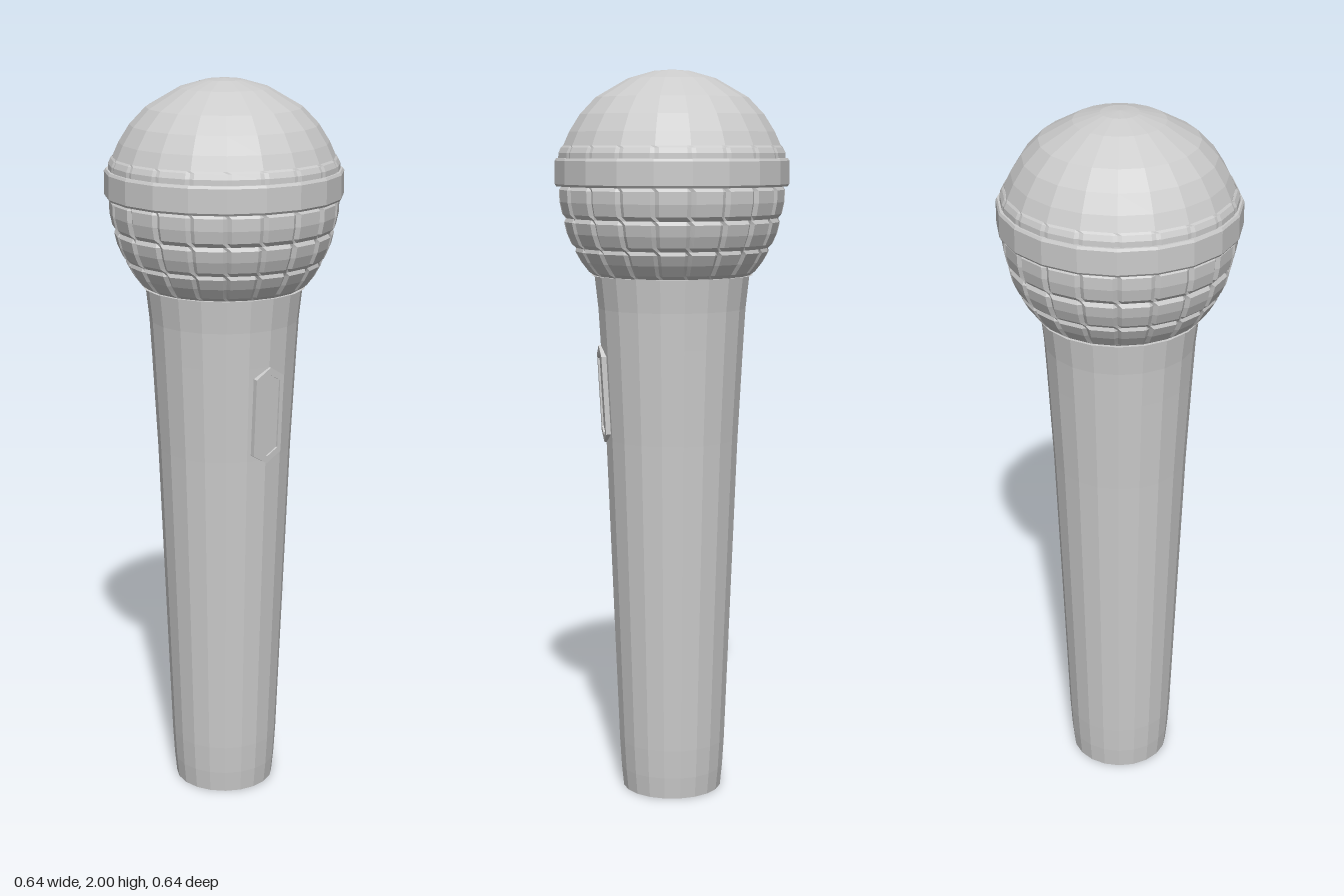
import * as THREE from 'three';

const SIDES = 20;
const STEP = (Math.PI * 2) / SIDES;
const material = new THREE.MeshStandardMaterial({ color: 0xcccccc, flatShading: true, side: THREE.DoubleSide });

function add(parent, name, geometry) {
  const mesh = new THREE.Mesh(geometry, material);
  mesh.name = name;
  parent.add(mesh);
  return mesh;
}

// Revolved part from [radius, y] pairs, listed bottom to top
function lathe(points, sides = SIDES) {
  return new THREE.LatheGeometry(points.map(([r, y]) => new THREE.Vector2(r, y)), sides);
}

// Ring of raised tiles, separated by shallow grooves
function tileRow([r0, y0], [r1, y1], depth = 0.009) {
  const at = (t, inset) => [r0 + (r1 - r0) * t - inset, y0 + (y1 - y0) * t];
  const geometry = lathe([at(0, depth), at(0.13, 0), at(0.5, -0.003), at(0.87, 0), at(1, depth)], SIDES * 3);
  const pos = geometry.attributes.position;
  const rows = 5;
  for (let i = 0; i < pos.count; i++) {
    const column = Math.floor(i / rows);
    const k = column % 3;
    const local = [0, 0.12, 0.88][k] * STEP;
    const angle = Math.floor(column / 3) * STEP + local;
    let r = Math.hypot(pos.getX(i), pos.getZ(i));
    // keep the tile faces flat, sink the groove lines
    r *= Math.cos(STEP / 2) / Math.cos(local - STEP / 2);
    const edgeRow = i % rows === 0 || i % rows === rows - 1;
    if (k === 0 && !edgeRow) r -= depth;
    pos.setX(i, Math.sin(angle) * r);
    pos.setZ(i, Math.cos(angle) * r);
  }
  geometry.computeVertexNormals();
  return geometry;
}

// Long hexagon with pointed ends, centred on the origin
function longHexagon(PathType, w, h, point) {
  return new PathType([
    [0, h], [-w, h - point], [-w, point - h], [0, -h], [w, point - h], [w, h - point],
  ].map(([x, y]) => new THREE.Vector2(x, y)));
}

export function createModel() {
  const model = new THREE.Group();
  model.name = 'microphone';

  // Tapered handle with a socket in the base
  add(model, 'handle', lathe([
    [0.035, 0], [0.138, 0], [0.144, 0.06], [0.149, 0.14], [0.183, 1.0],
    [0.197, 1.26], [0.203, 1.36], [0.213, 1.45], [0.18, 1.47],
  ]));
  add(model, 'baseSocket', lathe([[0, 0.05], [0.035, 0.05], [0.035, 0]], 8));

  // Switch on the front of the handle, tilted to follow the taper
  const powerSwitch = new THREE.Group();
  powerSwitch.name = 'switch';
  powerSwitch.position.set(0, 1.125, 0.19);
  powerSwitch.rotation.x = 0.055;
  model.add(powerSwitch);
  const rim = longHexagon(THREE.Shape, 0.046, 0.135, 0.028);
  rim.holes.push(longHexagon(THREE.Path, 0.034, 0.115, 0.02));
  add(powerSwitch, 'switchFrame', new THREE.ExtrudeGeometry(rim, { depth: 0.02, bevelEnabled: false }))
    .position.z = -0.014;
  add(powerSwitch, 'switchPlate', new THREE.ExtrudeGeometry(
    longHexagon(THREE.Shape, 0.034, 0.115, 0.02), { depth: 0.015, bevelEnabled: false }))
    .position.z = -0.014;

  // Grille head: underside, three tiled rows below the band, one above
  const head = new THREE.Group();
  head.name = 'head';
  model.add(head);
  add(head, 'headUnderside', lathe([[0.17, 1.45], [0.222, 1.45]]));
  const rows = [
    [[0.222, 1.45], [0.272, 1.525]],
    [[0.272, 1.525], [0.299, 1.605]],
    [[0.299, 1.605], [0.31, 1.692]],
    [[0.311, 1.76], [0.301, 1.798]],
  ];
  rows.forEach(([low, high], i) => add(head, `grilleRow${i + 1}`, tileRow(low, high, i === 3 ? 0.004 : 0.009)));

  // Smooth dome
  add(head, 'dome', lathe([
    [0.296, 1.797], [0.279, 1.835], [0.25, 1.881], [0.207, 1.926],
    [0.12, 1.976], [0.05, 1.996], [0, 2.0],
  ]));

  // Raised band around the widest part
  add(head, 'band', lathe([
    [0.295, 1.69], [0.315, 1.69], [0.319, 1.696], [0.319, 1.758], [0.315, 1.765], [0.295, 1.765],
  ]));

  return model;
}
